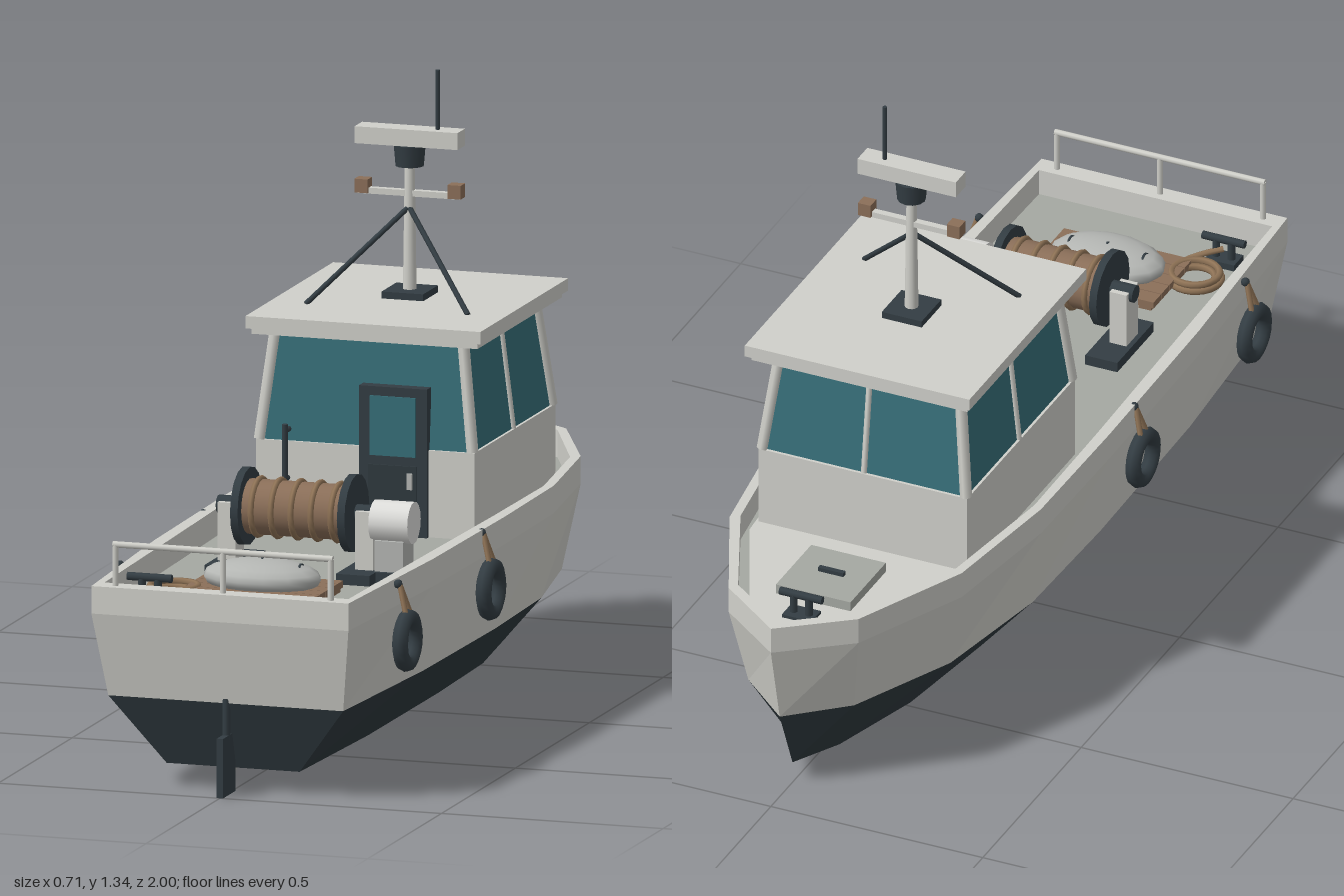
import * as THREE from 'three';

const mat = (name, color) => Object.assign(new THREE.MeshStandardMaterial({ color }), { name });

export function createModel() {
  const boat = new THREE.Group();
  boat.name = 'workBoat';
  const light = mat('paintedLight', 0xd0d0ca), deckGrey = mat('deckGrey', 0xa5a8a2);
  const bottom = mat('hullDark', 0x2f393e), dark = mat('darkMetal', 0x333d43);
  const glass = mat('glassTeal', 0x376e78), wood = mat('wood', 0x8b6f59);
  const rope = mat('rope', 0x8f7356), white = mat('motorWhite', 0xdededb), steel = mat('steel', 0xb4b6b3);

  const add = (name, geo, m, x = 0, y = 0, z = 0, parent = boat) => {
    const mesh = new THREE.Mesh(geo, m);
    mesh.name = name;
    mesh.position.set(x, y, z);
    parent.add(mesh);
    return mesh;
  };
  // Box given by its limits on each axis
  const box = (name, m, x0, x1, y0, y1, z0, z1) =>
    add(name, new THREE.BoxGeometry(x1 - x0, y1 - y0, z1 - z0), m, (x0 + x1) / 2, (y0 + y1) / 2, (z0 + z1) / 2);
  // Straight bar between two points
  const rod = (name, m, a, b, r, sides = 8) => {
    const p = new THREE.Vector3(...a), q = new THREE.Vector3(...b);
    const mesh = add(name, new THREE.CylinderGeometry(r, r, p.distanceTo(q), sides), m);
    mesh.position.copy(p).add(q).multiplyScalar(0.5);
    mesh.quaternion.setFromUnitVectors(new THREE.Vector3(0, 1, 0), q.sub(p).normalize());
    return mesh;
  };
  // Full ring from a half outline of [x, z] running from stern to bow
  const ring = half => [...half, ...half.filter(p => p[0] > 0).reverse().map(([x, z]) => [-x, z])];
  // Faceted closed band between two rings
  const band = (name, m, A, yA, B, yB) => {
    const pos = [];
    A.forEach((a, i) => {
      const j = (i + 1) % A.length;
      const p = [a[0], yA, a[1]], q = [A[j][0], yA, A[j][1]];
      const r = [B[j][0], yB, B[j][1]], s = [B[i][0], yB, B[i][1]];
      pos.push(...p, ...q, ...r, ...p, ...r, ...s);
    });
    const g = new THREE.BufferGeometry();
    g.setAttribute('position', new THREE.Float32BufferAttribute(pos, 3));
    g.computeVertexNormals();
    return add(name, g, m);
  };
  // Flat slab with a ring as its outline
  const slab = (name, m, pts, y, h) => {
    const shape = new THREE.Shape(pts.map(([x, z]) => new THREE.Vector2(x, -z)));
    const g = new THREE.ExtrudeGeometry(shape, { depth: h, bevelEnabled: false });
    return add(name, g.rotateX(-Math.PI / 2), m, 0, y, 0);
  };

  // Hull, bulwark and decks
  const sheer = ring([[.29, 1], [.314, .5], [.32, .03], [.317, -.31], [.274, -.62], [.153, -.885], [0, -1]]);
  const water = ring([[.265, .96], [.293, .5], [.3, .03], [.292, -.3], [.238, -.6], [.125, -.845], [0, -.955]]);
  const keel = ring([[.15, .91], [.168, .5], [.17, .03], [.163, -.29], [.125, -.56], [.06, -.78], [0, -.89]]);
  const inner = ring([[.275, .955], [.284, .5], [.294, .03], [.297, -.3], [.255, -.605], [.14, -.865], [0, -.968]]);
  const deckY = 0.385, rimY = 0.445;
  band('hullBottomSides', bottom, keel, .05, water, .2);
  slab('hullBottom', bottom, keel, .05, .004);
  band('hullSides', light, water, .2, sheer, deckY);
  band('bulwarkOuter', light, sheer, deckY, sheer, rimY);
  band('bulwarkCap', light, sheer, rimY, inner, rimY);
  band('bulwarkInner', light, inner, rimY, inner, deckY - .005);
  slab('deck', deckGrey, inner, deckY - .01, .01);
  slab('foredeck', light, ring([[.255, -.5], [.25, -.57], [.115, -.86], [0, -.95]]), deckY, .008);
  box('hatch', deckGrey, -.088, .088, deckY, .415, -.785, -.605);
  box('hatchHandle', dark, -.03, .03, .415, .424, -.697, -.685);

  // Cabin with sloping glass
  const sill = 0.575, head = 0.81;
  const low = [[.24, .01], [.24, -.525], [-.24, -.525], [-.24, .01]];
  const high = [[.212, -.012], [.212, -.493], [-.212, -.493], [-.212, -.012]];
  box('cabinWall', light, -.246, .246, deckY - .01, sill, -.532, .016);
  band('cabinGlass', glass, low, sill, high, head);
  low.forEach(([x, z], i) => rod('cornerPost', light, [x, sill, z], [high[i][0], head, high[i][1]], .013, 6));
  for (const s of [-1, 1]) rod('sideMullion', light, [s * .241, sill, -.26], [s * .213, head, -.255], .007, 6);
  rod('bowMullion', light, [0, sill, -.526], [0, head, -.494], .007, 6);
  box('roof', light, -.265, .265, .818, .845, -.562, .032);
  box('roofEdge', light, -.255, .255, .805, .818, -.55, .022);

  // Aft door and grab bar
  box('door', dark, -.01, .143, deckY, .71, 0, .028);
  box('doorWindow', glass, .015, .118, .56, .69, .028, .032);
  box('doorPanel', bottom, .012, .121, .405, .54, .028, .032);
  box('doorHandle', steel, .1, .112, .49, .525, .032, .038);
  rod('grabBar', dark, [-.175, .48, .035], [-.175, .615, .035], .007);
  for (const y of [.495, .6]) rod('grabBarBracket', dark, [-.175, y, -.005], [-.175, y, .035], .006);

  // Mast, lights and radar
  const mz = -.285;
  box('mastBase', dark, -.047, .047, .845, .86, mz - .05, mz + .05);
  add('mast', new THREE.CylinderGeometry(.011, .015, .28, 12), light, 0, .995, mz);
  for (const s of [-1, 1]) {
    rod('mastStrut', dark, [s * .183, .845, -.13], [0, 1.04, mz + .005], .006);
    box('navigationLight', wood, s * .105 - .015, s * .105 + .015, 1.065, 1.095, mz - .015, mz + .015);
  }
  box('crossbar', light, -.115, .115, 1.063, 1.076, mz - .008, mz + .008);
  add('radarMotor', new THREE.CylinderGeometry(.035, .031, .046, 12), dark, 0, 1.152, mz);
  box('radarBar', light, -.116, .116, 1.175, 1.212, mz - .025, mz + .025);
  rod('antenna', dark, [.063, 1.21, mz], [.063, 1.342, mz], .005);

  // Net winch
  const wy = .525, wz = .46;
  rod('winchDrum', wood, [-.115, wy, wz], [.115, wy, wz], .06, 20);
  for (let i = 0; i < 5; i++)
    add('drumRope', new THREE.TorusGeometry(.061, .007, 6, 20).rotateY(Math.PI / 2), rope, -.09 + i * .045, wy, wz);
  for (const s of [-1, 1]) {
    rod('winchFlange', dark, [s * .112, wy, wz], [s * .129, wy, wz], .085, 16);
    box('winchFoot', dark, s * .148 - .038, s * .148 + .038, deckY, .408, .36, .545);
    box('winchPedestal', light, s * .155 - .02, s * .155 + .02, .408, .535, wz - .03, wz + .03);
    rod('winchAxle', dark, [s * .12, wy, wz], [s * .183, wy, wz], .02, 10);
  }
  rod('winchMotor', white, [.17, .512, wz], [.258, .512, wz], .046, 16);
  box('motorBracket', steel, .18, .245, .408, .475, wz - .035, wz + .035);
  box('motorFoot', dark, .17, .265, deckY, .408, wz - .045, wz + .045);

  // Pallet with tied sack
  for (let i = 0; i < 5; i++) box('palletBoard', wood, -.153, .15, .395, .41, .615 + i * .04, .653 + i * .04);
  for (const x of [-.13, 0, .13]) box('palletRunner', wood, x - .015, x + .015, deckY, .395, .62, .81);
  add('sack', new THREE.SphereGeometry(1, 14, 10).scale(.132, .04, .085), steel, 0, .428, .712);
  for (const x of [-.087, 0, .087]) {
    const k = Math.sqrt(1 - (x / .132) ** 2) + .02;
    const tie = new THREE.TorusGeometry(1, .05, 6, 20).rotateY(Math.PI / 2).scale(.06, .04 * k, .085 * k);
    add('sackTie', x ? tie.scale(1, 1, .35).translate(0, .002, 0) : tie.scale(1, 1, .15), dark, x, .428, .712);
  }

  // Cleats and rope coil
  for (const [x, z] of [[-.203, .865], [0, -.845]]) {
    box('cleatBase', dark, x - .035, x + .035, deckY, .4, z - .024, z + .024);
    for (const s of [-1, 1]) rod('cleatPost', dark, [x + s * .018, .39, z], [x + s * .018, .44, z], .009);
    rod('cleatHorn', dark, [x - .05, .443, z], [x + .05, .443, z], .009);
  }
  [[.056, .394], [.052, .407], [.042, .396]].forEach(([r, y]) =>
    add('ropeCoil', new THREE.TorusGeometry(r, .008, 6, 24).rotateX(Math.PI / 2), rope, -.18, y, .77));
  const tail = new THREE.CatmullRomCurve3([[-.128, .4, .79], [-.135, .397, .83], [-.17, .41, .85], [-.203, .42, .865]]
    .map(p => new THREE.Vector3(...p)));
  add('ropeTail', new THREE.TubeGeometry(tail, 14, .007, 6), rope);

  // Stern rail
  rod('sternRail', light, [-.248, .535, .978], [.248, .535, .978], .007);
  for (const x of [-.243, 0, .243]) rod('railPost', light, [x, rimY - .01, .978], [x, .535, .978], .007);

  // Tyre fenders with rope slings
  for (const s of [-1, 1]) for (const z of [.735, .17]) {
    add('tyreFender', new THREE.TorusGeometry(.05, .018, 8, 20).rotateY(Math.PI / 2), dark, s * .335, .315, z);
    for (const d of [-.015, .015])
      rod('fenderSling', rope, [s * .337, .37, z + d], [s * .318, .435, z], .006, 6);
    add('fenderEye', new THREE.SphereGeometry(.01, 8, 6), dark, s * .314, .437, z);
  }

  // Rudder and propeller
  box('rudder', dark, -.007, .007, 0, .13, .915, 1);
  rod('rudderStock', dark, [0, .12, .955], [0, .21, .955], .009);
  rod('propellerShaft', dark, [0, .068, .8], [0, .068, .905], .012);
  for (let i = 0; i < 3; i++) {
    const blade = new THREE.BoxGeometry(.028, .05, .008).rotateY(.4).translate(0, .033, 0);
    add('propellerBlade', blade, steel, 0, .068, .885).rotation.z = Math.PI * (.82 + i * 2 / 3);
  }
  return boat;
}
